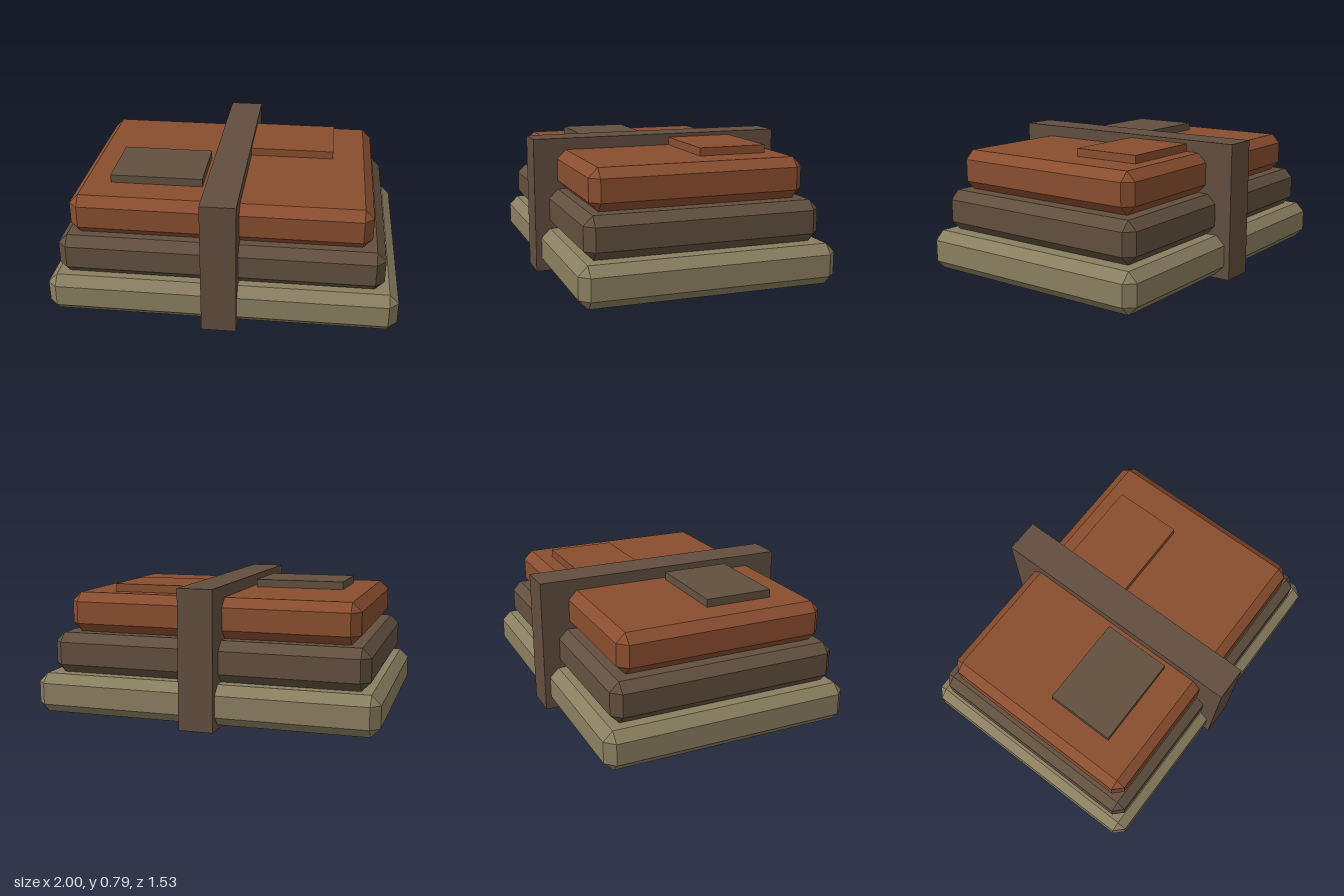
import * as THREE from 'three';
import { ConvexGeometry } from 'three/addons/geometries/ConvexGeometry.js';

const material = (name, color) => {
  const m = new THREE.MeshStandardMaterial({ color });
  m.name = name;
  return m;
};

// Box with every edge chamfered by b: each corner becomes three points.
function chamferedBox(w, h, d, b) {
  const points = [];
  for (const sx of [-1, 1]) for (const sy of [-1, 1]) for (const sz of [-1, 1]) {
    const x = w / 2, y = h / 2, z = d / 2;
    points.push(
      new THREE.Vector3(sx * x, sy * (y - b), sz * (z - b)),
      new THREE.Vector3(sx * (x - b), sy * y, sz * (z - b)),
      new THREE.Vector3(sx * (x - b), sy * (y - b), sz * z)
    );
  }
  return new ConvexGeometry(points);
}

export function createModel() {
  const model = new THREE.Group();
  model.name = 'strappedBundle';

  const khaki = material('khaki cloth', 0x8a7f60);
  const brown = material('dark brown cloth', 0x62503f);
  const rust = material('rust cloth', 0x8a4e2f);
  const leather = material('strap leather', 0x624e3f);

  // Places a geometry by its min and max corners.
  const add = (name, mat, min, max, bevel = 0) => {
    const [w, h, d] = max.map((v, i) => v - min[i]);
    const geometry = bevel ? chamferedBox(w, h, d, bevel) : new THREE.BoxGeometry(w, h, d);
    const mesh = new THREE.Mesh(geometry, mat);
    mesh.name = name;
    mesh.position.set(...max.map((v, i) => (v + min[i]) / 2));
    model.add(mesh);
  };

  // Three folded layers, each a little smaller and shifted
  add('bottomLayer', khaki, [-1, 0.025, -0.733], [1, 0.255, 0.733], 0.053);
  add('middleLayer', brown, [-0.935, 0.255, -0.667], [0.915, 0.49, 0.68], 0.052);
  add('topLayer', rust, [-0.867, 0.49, -0.6], [0.835, 0.722, 0.628], 0.052);

  // Strap around the middle
  add('strap', leather, [-0.1, 0, -0.767], [0.1, 0.79, 0.767]);

  // Patches lying on the top layer
  add('darkPatch', brown, [-0.667, 0.715, 0], [-0.135, 0.768, 0.4]);
  add('rustPatch', rust, [0.065, 0.715, -0.467], [0.597, 0.768, -0.067]);

  return model;
}
